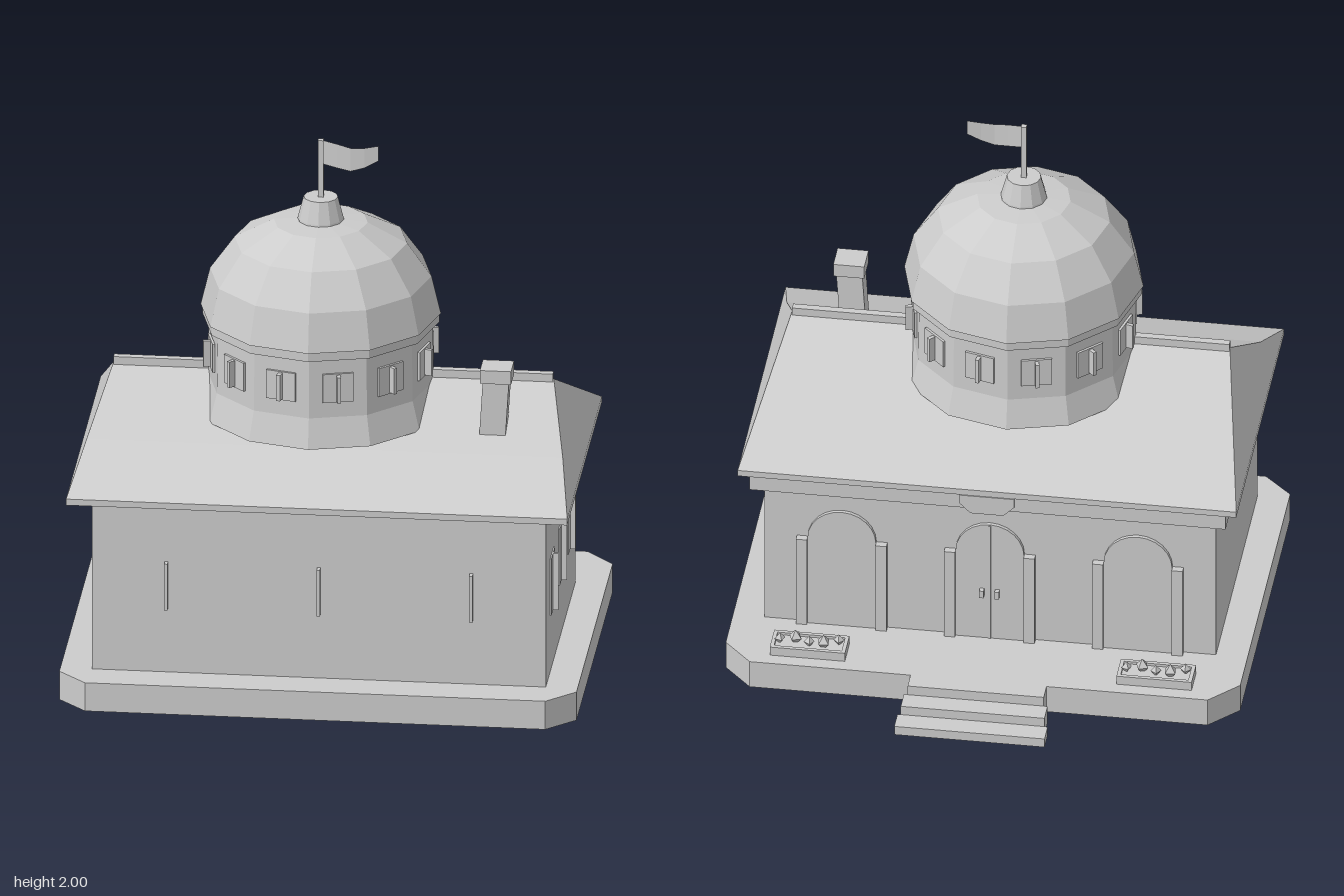
import * as THREE from 'three';

const stone = new THREE.MeshStandardMaterial({ color: 0xcccccc });
stone.name = 'pale stone';

export function createModel() {
  const model = new THREE.Group();
  model.name = 'domedHall';

  // Adds a faceted mesh
  function add(name, geometry, parent = model) {
    const geo = geometry.index ? geometry.toNonIndexed() : geometry;
    geo.computeVertexNormals();
    const mesh = new THREE.Mesh(geo, stone);
    mesh.name = name;
    parent.add(mesh);
    return mesh;
  }
  // Box given by its extents on each axis
  function box(name, x0, x1, y0, y1, z0, z1, parent = model) {
    const geo = new THREE.BoxGeometry(x1 - x0, y1 - y0, z1 - z0);
    geo.translate((x0 + x1) / 2, (y0 + y1) / 2, (z0 + z1) / 2);
    return add(name, geo, parent);
  }
  // Flat slab from a ground plan (x, -z) with openings
  function slab(name, outline, holes, y0, y1) {
    const toPoints = (pts) => pts.map(([x, y]) => new THREE.Vector2(x, y));
    const shape = new THREE.Shape(toPoints(outline));
    shape.holes = holes.map((h) => new THREE.Path(toPoints(h)));
    const geo = new THREE.ExtrudeGeometry(shape, { depth: y1 - y0, bevelEnabled: false });
    geo.rotateX(-Math.PI / 2);
    geo.translate(0, y0, 0);
    add(name, geo);
  }
  const lathe = (pts, sides) =>
    new THREE.LatheGeometry(pts.map(([r, y]) => new THREE.Vector2(r, y)), sides);

  // Hollow plinth with cut corners, open below
  const plan = [[-0.938, 0.5], [-0.938, -0.73], [-0.835, -0.83], [0.835, -0.83],
    [0.938, -0.73], [0.938, 0.5], [0.835, 0.61], [-0.835, 0.61]];
  const inner = plan.map(([x, y]) => [x * 0.995, (y + 0.11) * 0.995 - 0.11]);
  const planterHoles = [-0.632, 0.632].map((x) =>
    [[x - 0.123, 0.46], [x - 0.123, 0.544], [x + 0.123, 0.544], [x + 0.123, 0.46]]);
  slab('plinthSides', plan, [inner], 0, 0.106);
  slab('plinthTop', plan, planterHoles, 0.106, 0.11);

  // Entrance steps, hollow below: half width, height, outer z, inner z
  for (const [w, h, z0, z1] of [[0.248, 0.11, -0.68, -0.608],
    [0.262, 0.072, -0.757, -0.68], [0.274, 0.036, -0.835, -0.757]]) {
    box('stepTread', -w, w, h - 0.004, h, z0, z1);
    box('stepRiser', -w, w, 0, h - 0.004, z0, z0 + 0.004);
    for (const s of [-1, 1]) {
      box('stepSide', s * (w - 0.002) - 0.002, s * (w - 0.002) + 0.002, 0, h - 0.004, z0 + 0.004, z1);
    }
  }

  // Walls and entrance beam
  box('walls', -0.823, 0.823, 0.11, 0.8, -0.32, 0.695);
  box('entranceBeam', -0.868, 0.868, 0.71, 0.776, -0.39, -0.28);

  // Roof shell: slopes, steep hipped ends and fascia, open below: [z, y, half width]
  const profile = [[-0.405, 0.8, 0.909], [0.19, 1.105, 0.798],
    [0.5, 0.925, 0.8635], [0.775, 0.8, 0.909]];
  const left = profile.map(([z, y, w]) => [-w, y, z]);
  const right = profile.map(([z, y, w]) => [w, y, z]);
  const tris = [];
  for (let i = 0; i < 3; i++) {
    tris.push(left[i], left[i + 1], right[i + 1], left[i], right[i + 1], right[i]);
  }
  for (let i = 1; i < 3; i++) {
    tris.push(right[0], right[i], right[i + 1], left[0], left[i + 1], left[i]);
  }
  const rim = [left[3], right[3], right[0], left[0]];
  const drop = ([x, y, z]) => [x, y - 0.024, z];
  rim.forEach((a, i) => {
    const b = rim[(i + 1) % 4];
    tris.push(drop(a), drop(b), b, drop(a), b, a);
  });
  const roof = new THREE.BufferGeometry();
  roof.setAttribute('position', new THREE.Float32BufferAttribute(tris.flat(), 3));
  add('roof', roof);
  box('ridgeCap', -0.798, 0.796, 1.09, 1.128, 0.175, 0.203);

  // Chimney with a slightly leaning shaft
  const shaft = new THREE.BoxGeometry(0.095, 0.21, 0.08);
  const corner = shaft.attributes.position;
  for (let i = 0; i < corner.count; i++) corner.setX(i, corner.getX(i) + corner.getY(i) * 0.06);
  shaft.translate(0.606, 1.075, 0.381);
  add('chimneyShaft', shaft);
  box('chimneyCap', 0.556, 0.669, 1.175, 1.226, 0.33, 0.435);

  // Dome tower
  const tower = new THREE.Group();
  tower.name = 'domeTower';
  tower.position.set(-0.047, 0, 0.19);
  model.add(tower);
  add('drum', lathe([[0.44, 0.97], [0.41, 1.08], [0.406, 1.32]], 12), tower);
  add('cornice', lathe([[0.43, 1.308], [0.43, 1.342]], 12), tower);
  add('dome', lathe([[0.436, 1.342], [0.402, 1.485], [0.313, 1.61], [0.17, 1.685], [0, 1.7]], 12), tower);
  add('lantern', lathe([[0.085, 1.685], [0.083, 1.7], [0.062, 1.78], [0, 1.78]], 12), tower);
  for (let i = 0; i < 12; i++) {
    const windowGroup = new THREE.Group();
    windowGroup.name = 'drumWindow';
    windowGroup.rotation.y = (i + 0.5) * Math.PI / 6;
    tower.add(windowGroup);
    box('drumPane', -0.056, 0.056, 1.14, 1.25, 0.395, 0.404, windowGroup);
    box('drumMullion', -0.007, 0.007, 1.145, 1.245, 0.39, 0.43, windowGroup);
  }

  // Flag and pole
  box('flagPole', -0.01, 0.01, 1.77, 2, -0.01, 0.01, tower);
  const flag = new THREE.PlaneGeometry(0.2, 0.1, 4, 1);
  const tops = [1.997, 1.99, 1.98, 1.982, 1.99];
  const bottoms = [1.905, 1.897, 1.89, 1.905, 1.932];
  const wave = [0, 0.012, 0.022, 0.022, 0.016];
  const cloth = flag.attributes.position;
  for (let i = 0; i < cloth.count; i++) {
    const c = i % 5;
    cloth.setXYZ(i, 0.01 + c * 0.05, i < 5 ? tops[c] : bottoms[c], wave[c]);
  }
  add('flag', flag, tower);
  const flagBack = flag.clone();
  flagBack.setIndex(Array.from(flag.index.array).reverse());
  add('flagBack', flagBack, tower);

  // Long-wall and side-wall windows
  for (const x of [-0.553, 0, 0.553]) {
    box('frontMullion', x - 0.006, x + 0.006, 0.36, 0.54, 0.69, 0.722);
  }
  for (const z of [0.49, 0.2, -0.097]) {
    box('sidePane', 0.822, 0.828, 0.33, 0.55, z - 0.06, z + 0.06);
    box('sideMullion', 0.82, 0.847, 0.33, 0.55, z - 0.006, z + 0.006);
  }

  // Arched bays with flanking pilasters
  for (const x of [-0.54, 0, 0.54]) {
    const arch = new THREE.Shape();
    arch.moveTo(-0.125, 0.11);
    arch.lineTo(0.125, 0.11);
    arch.lineTo(0.125, 0.48);
    arch.absarc(0, 0.48, 0.125, 0, Math.PI, false);
    const panel = new THREE.ExtrudeGeometry(arch,
      { depth: 0.016, bevelEnabled: false, curveSegments: 6 });
    panel.translate(x, 0, -0.334);
    add('archPanel', panel);
    for (const s of [-1, 1]) {
      const px = x + s * 0.145;
      box('pilaster', px - 0.02, px + 0.02, 0.11, 0.48, -0.347, -0.31);
    }
  }
  // Door seam and handles
  box('doorSeam', -0.004, 0.004, 0.11, 0.6, -0.338, -0.33);
  for (const s of [-1, 1]) {
    box('doorHandle', s * 0.028 - 0.008, s * 0.028 + 0.008, 0.295, 0.325, -0.354, -0.33);
  }
  // Thin blank plaque above the door
  const plaque = new THREE.Shape([[-0.1, 0.775], [-0.1, 0.74], [-0.06, 0.7],
    [0.06, 0.7], [0.1, 0.74], [0.1, 0.775]].map(([x, y]) => new THREE.Vector2(x, y)));
  const plaqueGeo = new THREE.ExtrudeGeometry(plaque, { depth: 0.005, bevelEnabled: false });
  plaqueGeo.translate(0, 0, -0.407);
  add('plaque', plaqueGeo);

  // Planters with small pointed shrubs
  const shrubs = [[-0.105, 0.015], [-0.052, -0.006], [0, -0.01], [0.053, 0.012], [0.108, -0.002]];
  for (const x of [-0.632, 0.632]) {
    const planter = new THREE.Group();
    planter.name = 'planter';
    planter.position.set(x, 0.11, -0.502);
    model.add(planter);
    box('soil', -0.125, 0.125, 0.02, 0.025, -0.045, 0.045, planter);
    for (const s of [-1, 1]) {
      box('longRim', -0.137, 0.137, 0, 0.035, s * 0.049 - 0.007, s * 0.049 + 0.007, planter);
      box('shortRim', s * 0.13 - 0.007, s * 0.13 + 0.007, 0, 0.035, -0.045, 0.045, planter);
    }
    shrubs.forEach(([sx, sz], i) => {
      const size = 0.02 + 0.006 * (i % 2);
      const shrub = new THREE.OctahedronGeometry(size, 0);
      shrub.scale(1, 1.2, 1);
      shrub.rotateY(i * 0.9);
      shrub.translate(sx, 0.042, sz);
      add('shrub', shrub, planter);
    });
  }
  return model;
}
